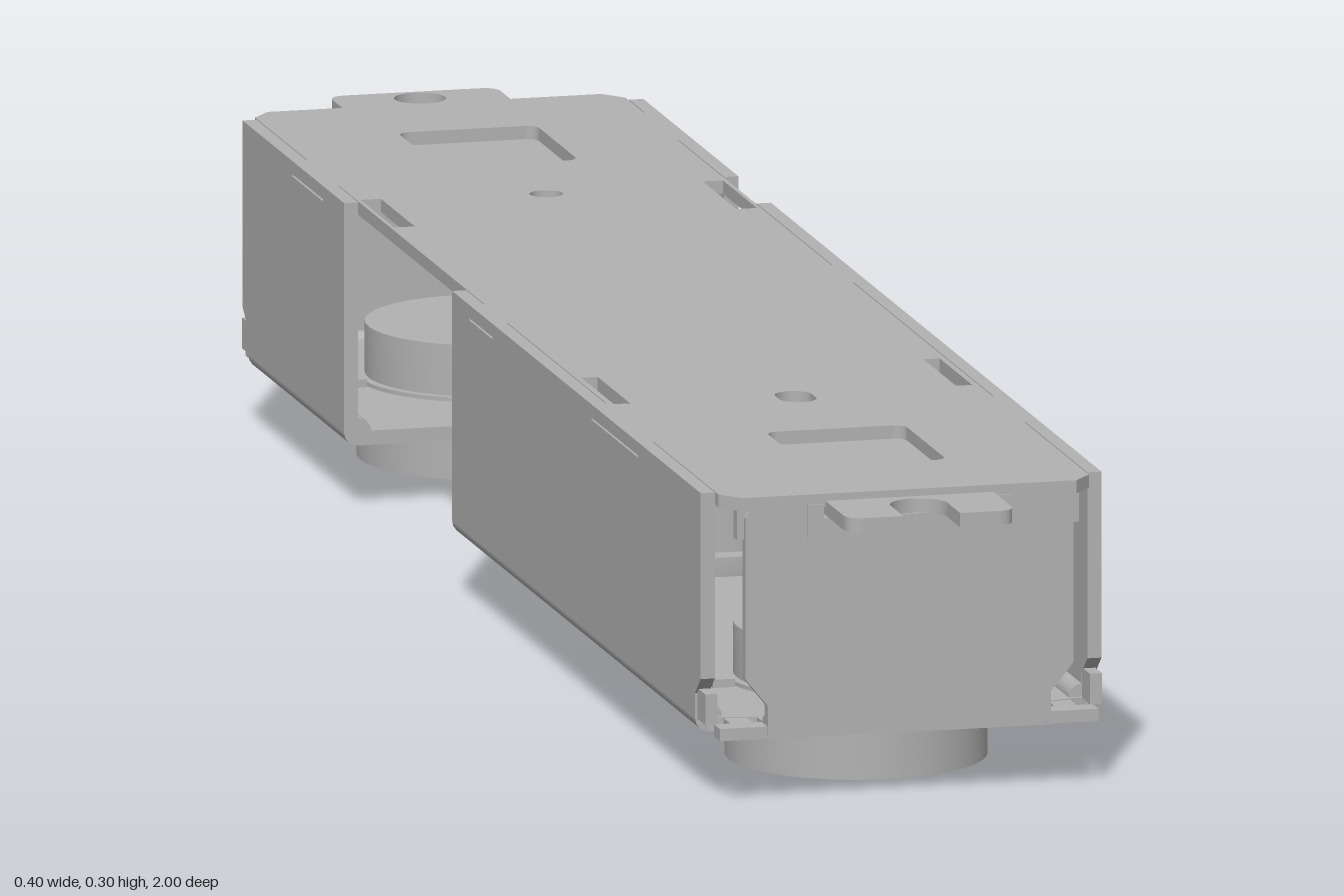
import * as THREE from 'three';
import { toCreasedNormals } from 'three/addons/utils/BufferGeometryUtils.js';

export function createModel() {
  const model = new THREE.Group();
  model.name = 'sensorBarHousing';
  const steel = new THREE.MeshStandardMaterial({ color: 0xb2b2b2 });
  steel.name = 'grey steel';

  const add = (name, geo, x = 0, y = 0, z = 0) => {
    const m = new THREE.Mesh(geo, steel);
    m.name = name;
    m.position.set(x, y, z);
    model.add(m);
    return m;
  };
  const box = (name, w, h, d, x, y, z) => add(name, new THREE.BoxGeometry(w, h, d), x, y, z);
  const poly = (pts) => new THREE.Shape(pts.map((p) => new THREE.Vector2(p[0], p[1])));
  const rect = (x0, x1, y0, y1) => poly([[x0, y0], [x1, y0], [x1, y1], [x0, y1]]);
  const extrude = (shape, t) =>
    new THREE.ExtrudeGeometry(shape, { depth: t, bevelEnabled: false, curveSegments: 16 });
  const slot = (x, z, r, half = 0) => {
    const p = new THREE.Path();
    p.absarc(x, z + half, r, 0, Math.PI);
    p.absarc(x, z - half, r, Math.PI, Math.PI * 2);
    p.closePath();
    return p;
  };
  const roundRect = (x, z, w, d, r) => {
    const p = new THREE.Path(), a = w / 2 - r, b = d / 2 - r;
    p.absarc(x + a, z + b, r, 0, Math.PI / 2);
    p.absarc(x - a, z + b, r, Math.PI / 2, Math.PI);
    p.absarc(x - a, z - b, r, Math.PI, Math.PI * 1.5);
    p.absarc(x + a, z - b, r, Math.PI * 1.5, Math.PI * 2);
    p.closePath();
    return p;
  };
  // Horizontal sheet drawn in x, z with its top at the given height
  const sheet = (name, shape, top, t) => add(name, extrude(shape, t).rotateX(Math.PI / 2), 0, top, 0);
  // Upright sheet drawn in z, y with its outer +x face at the given x
  const upright = (name, shape, x, t) => add(name, extrude(shape, t).rotateY(-Math.PI / 2), x, 0, 0);

  const T = 0.014, CUPS = [-0.707, 0.707], MID = 0.1;
  const CUT0 = -0.49, CUT1 = -0.075;

  // Floor with the side cut-out, lens openings and screw holes
  const floor = poly([
    [-0.14, -0.91], [0.14, -0.91], [0.14, -0.87], [0.187, -0.86], [0.187, 0.86], [0.14, 0.87],
    [0.14, 0.91], [-0.14, 0.91], [-0.14, 0.87], [-0.187, 0.86], [-0.187, CUT1],
    [-0.035, CUT1 - 0.02], [-0.035, CUT0], [-0.187, CUT0], [-0.187, -0.86], [-0.14, -0.87],
  ]);
  floor.holes.push(slot(0, MID, 0.14), slot(0, 0.49, 0.018, 0.006), slot(0, -0.48, 0.018));
  CUPS.forEach((z) => floor.holes.push(slot(0, z, 0.122)));
  sheet('floor', floor, 0.062 + T, T);

  // Lid overlap tabs, as z ranges along each side
  const tabs = { 1: [[-0.82, -0.69], [-0.1, -0.02], [0.52, 0.64]], [-1]: [[-0.69, -0.57], [-0.01, 0.08], [0.46, 0.64]] };

  // Wall outline between two z values, with notches under the lid tabs
  const wallOutline = (z0, z1, side, notch = []) => {
    const foot = (z) => (Math.abs(z) > 0.8 ? z - Math.sign(z) * 0.022 : z);
    const pts = [[foot(z0), 0.075], [foot(z1), 0.075], [foot(z1), 0.1], [z1, 0.118], [z1, 0.3]];
    const steps = tabs[side].filter(([a, b]) => a > z0 && b < z1)
      .map(([a, b]) => [[b, 0.3], [b, 0.285], [a, 0.285], [a, 0.3]]);
    if (notch.length) steps.push(notch);
    steps.sort((a, b) => b[0][0] - a[0][0]).forEach((s) => pts.push(...s));
    pts.push([z0, 0.3], [z0, 0.118], [foot(z0), 0.1]);
    return poly(pts);
  };
  // Left wall has a latch notch, right wall is split by the large opening
  const latch = [[-0.39, 0.3], [-0.39, 0.245], [-0.4, 0.195], [-0.418, 0.195], [-0.418, 0.225],
    [-0.488, 0.225], [-0.488, 0.195], [-0.506, 0.195], [-0.515, 0.245], [-0.515, 0.3]];
  upright('leftWall', wallOutline(-0.88, 0.88, 1, latch), 0.198, T);
  upright('rightWallRear', wallOutline(-0.88, CUT0, -1), -0.184, T);
  upright('rightWallFront', wallOutline(CUT1, 0.88, -1), -0.184, T);

  // Rounded bends joining floor and walls
  const bend = (x, z0, z1) =>
    add('floorBend', new THREE.CylinderGeometry(0.0135, 0.0135, z1 - z0, 16).rotateX(Math.PI / 2), x, 0.0755, (z0 + z1) / 2);
  bend(0.1845, -0.858, 0.858);
  bend(-0.1845, -0.858, CUT0);
  bend(-0.1845, CUT1, 0.858);

  // Lid with overlap tabs, recess windows, screw holes and edge slots
  const right = tabs[1].flatMap(([a, b]) => [[0.183, a], [0.198, a], [0.198, b], [0.183, b]]);
  const left = [...tabs[-1]].reverse().flatMap(([a, b]) => [[-0.183, b], [-0.198, b], [-0.198, a], [-0.183, a]]);
  const lid = poly([[-0.165, -0.912], [0.165, -0.912], [0.183, -0.89], ...right, [0.183, 0.89],
    [0.165, 0.912], [-0.165, 0.912], [-0.183, 0.89], ...left, [-0.183, -0.89]]);
  lid.holes.push(slot(0, -0.483, 0.016), slot(0, 0.475, 0.018, 0.008));
  CUPS.forEach((z) => lid.holes.push(roundRect(0, z, 0.137, 0.163, 0.012)));
  [-1, 1].forEach((s) => {
    lid.holes.push(rect(s * 0.169 - 0.01, s * 0.169 + 0.01, -0.5, -0.37));
    lid.holes.push(rect(s * 0.169 - 0.008, s * 0.169 + 0.008, 0.34, 0.465));
  });
  sheet('lid', lid, 0.3, 0.013);
  CUPS.forEach((z) => box('recessPanel', 0.17, 0.006, 0.2, 0, 0.284, z));

  // Folded lid lips inside the edge slots
  [-1, 1].forEach((s) => box('slotLip', 0.006, 0.03, 0.125, s * 0.158, 0.274, 0.4025));
  box('slotLip', 0.006, 0.05, 0.09, 0.164, 0.264, -0.45);
  // Latch ledge and spring on the left wall
  box('latchLedge', 0.022, 0.014, 0.07, 0.174, 0.223, -0.453);
  box('latchSpring', 0.008, 0.012, 0.11, 0.172, 0.25, -0.453).rotation.x = 0.08;

  // End plates, corner prongs, lid hooks and mounting ears
  const endShape = poly([[-0.14, 0.066], [0.14, 0.066], [0.14, 0.095], [0.162, 0.122], [0.162, 0.28],
    [0.155, 0.291], [0.1, 0.291], [0.1, 0.276], [-0.1, 0.276], [-0.1, 0.291], [-0.155, 0.291],
    [-0.162, 0.28], [-0.162, 0.122], [-0.14, 0.095]]);
  [-1, 1].forEach((e) => {
    add('endPlate', extrude(endShape, 0.012), 0, 0, e * 0.906 - 0.006);
    add('endBend', new THREE.CylinderGeometry(0.011, 0.011, 0.28, 12).rotateZ(Math.PI / 2), 0, 0.073, e * 0.901);
    [-1, 1].forEach((s) => {
      box('cornerProng', 0.05, 0.012, 0.022, s * 0.162, 0.069, e * 0.9);
      box('prongNeck', 0.022, 0.012, 0.05, s * 0.16, 0.069, e * 0.875);
      box('wallFoot', 0.012, 0.03, 0.03, s * 0.19, 0.09, e * 0.875);
      box('lidHook', 0.016, 0.032, 0.012, s * 0.093, 0.274, e * 0.908);
      box('lidCornerHook', 0.024, 0.042, 0.012, s * 0.157, 0.279, e * 0.9);
    });
    const ear = new THREE.Shape();
    const c = 0.018, o = 0.998;
    ear.moveTo(-0.083, 0.895);
    ear.lineTo(0.083, 0.895);
    ear.lineTo(0.083, o - c);
    ear.quadraticCurveTo(0.083, o, 0.083 - c, o);
    if (e > 0) {
      // Open slot at the front ear
      ear.lineTo(0.028, o);
      ear.lineTo(0.028, 0.95);
      ear.absarc(0, 0.95, 0.028, 0, Math.PI, true);
      ear.lineTo(-0.028, o);
    } else ear.holes.push(slot(0, 0.968, 0.025));
    ear.lineTo(-0.083 + c, o);
    ear.quadraticCurveTo(-0.083, o, -0.083, o - c);
    ear.closePath();
    const m = sheet(e > 0 ? 'slottedEar' : 'roundHoleEar', ear, 0.293, 0.014);
    if (e < 0) m.rotation.y = Math.PI;
  });

  // Lens barrels: two protruding and one flush in the floor
  const lathe = (name, pts, z) => {
    const g = new THREE.LatheGeometry(pts.map((p) => new THREE.Vector2(p[0], p[1])), 48);
    add(name, toCreasedNormals(g, 0.5), 0, 0, z);
  };
  CUPS.forEach((z) => {
    lathe('lensBarrel', [[0, 0.026], [0.03, 0.028], [0.06, 0.034], [0.08, 0.043], [0.082, 0.037], [0.097, 0.035],
      [0.107, 0.002], [0.109, 0], [0.126, 0], [0.126, 0.08], [0.118, 0.08], [0.118, 0.13], [0, 0.13]], z);
    [-1, 1].forEach((s) => box('barrelClip', 0.022, 0.014, 0.05, s * 0.137, 0.077, z));
  });
  lathe('centreLens', [[0, 0.065], [0.04, 0.067], [0.07, 0.072], [0.098, 0.083], [0.1, 0.07], [0.116, 0.065],
    [0.12, 0.082], [0.128, 0.082], [0.14, 0.062], [0.143, 0.076], [0.143, 0.095], [0.12, 0.095],
    [0.12, 0.15], [0, 0.15]], MID);

  return model;
}
